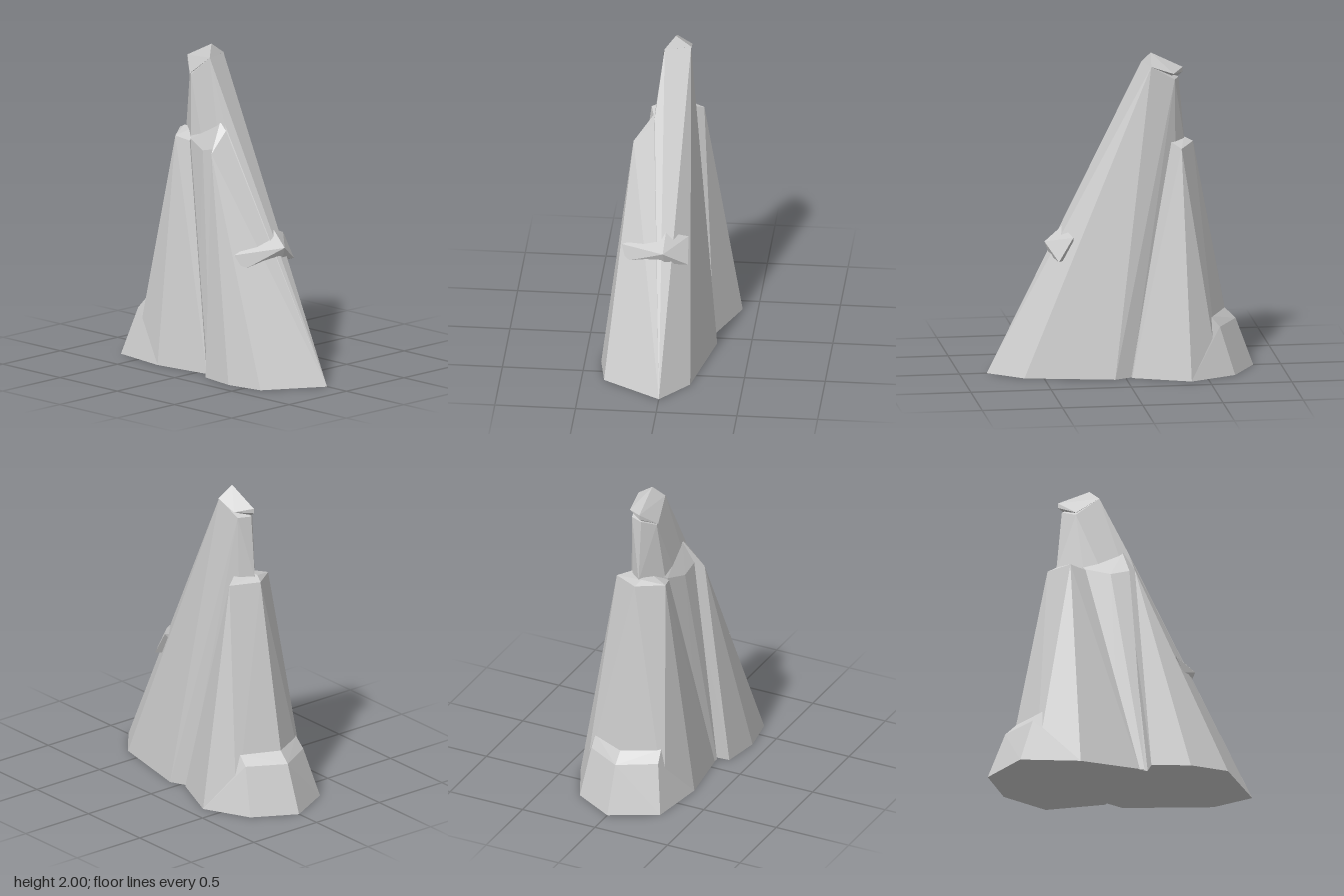
import * as THREE from 'three';
import { ConvexGeometry } from 'three/addons/geometries/ConvexGeometry.js';

// Each rock mass is a faceted convex block given by its corner points.
const masses = {
  // Tall leaning spire
  mainSpire: [
    [-0.29, 1.8, 0.07], [-0.14, 1.93, 0.055], [-0.18, 1.93, -0.105], [-0.33, 1.84, -0.08], [-0.365, 1.84, 0],
    [-0.4, 1.44, 0], [0.04, 1.54, 0.1],
    [0.83, 0, 0], [0.62, 0, -0.175], [0.07, 0, -0.29], [-0.04, 0, -0.24], [-0.35, 0, -0.05], [-0.1, 0, 0.25], [0.4, 0, 0.3],
  ],
  // Overhanging cap at the summit
  summitCap: [
    [-0.39, 1.9, 0], [-0.39, 1.87, 0], [-0.19, 2, -0.01], [-0.18, 1.93, -0.11], [-0.32, 1.88, -0.1],
    [-0.14, 1.93, 0.055], [-0.29, 1.81, 0.08], [-0.365, 1.85, 0],
  ],
  // Front buttress beside the central crack
  frontButtress: [
    [0, 1.55, 0.105], [0.05, 1.53, 0.08], [0.05, 1.38, 0.23], [0.36, 0.92, 0],
    [0.13, 0, 0.36], [0.37, 0, 0.4], [0.61, 0, 0.36], [0.83, 0, 0], [0.1, 0, 0],
  ],
  // Sloping shoulder set back in the crack
  crackShoulder: [
    [0, 1.55, 0.1], [-0.28, 1.46, 0.08], [-0.24, 1.41, 0.12], [-0.09, 1.37, 0.165], [0.03, 1.4, 0.17],
    [-0.2, 0, 0.2], [-0.05, 0, 0.25], [0.1, 0, 0.29], [0, 0, 0],
  ],
  // Lower secondary peak
  sidePeak: [
    [-0.455, 1.43, 0], [-0.4, 1.455, 0.02], [-0.34, 1.42, 0.155], [-0.24, 1.4, 0.13], [-0.3, 1.46, 0.02],
    [-0.36, 1.42, -0.17], [-0.3, 1.45, -0.08],
    [-0.72, 0, 0], [-0.575, 0, 0.27], [-0.31, 0, 0.34], [0.07, 0, 0.29],
    [-0.04, 0, -0.26], [-0.39, 0, -0.405], [-0.575, 0, -0.29],
  ],
  // Stepped foot below the secondary peak
  sideFoot: [
    [-0.83, 0, 0], [-0.68, 0, 0.29], [-0.68, 0, -0.265], [-0.31, 0, 0.34], [-0.39, 0, -0.405],
    [-0.72, 0.3, 0], [-0.59, 0.3, 0.23], [-0.59, 0.3, -0.23],
    [-0.65, 0.37, 0], [-0.53, 0.37, 0.22], [-0.53, 0.37, -0.23],
  ],
  // Jutting ledge on the long slope
  slopeLedge: [
    [0.36, 0.92, 0], [0.47, 0.82, 0.01], [0.35, 0.7, 0.25], [0.4, 0.72, -0.14], [0.31, 0.87, -0.135],
    [0.3, 0.79, 0.28], [0.44, 0.74, 0], [0.28, 0.72, 0],
  ],
};

export function createModel() {
  const group = new THREE.Group();
  group.name = 'rockSpire';
  const material = new THREE.MeshStandardMaterial({ color: 0xcccccc, flatShading: true });
  for (const [name, corners] of Object.entries(masses)) {
    const points = corners.map((c) => new THREE.Vector3(...c));
    const mesh = new THREE.Mesh(new ConvexGeometry(points), material);
    mesh.name = name;
    group.add(mesh);
  }
  return group;
}
